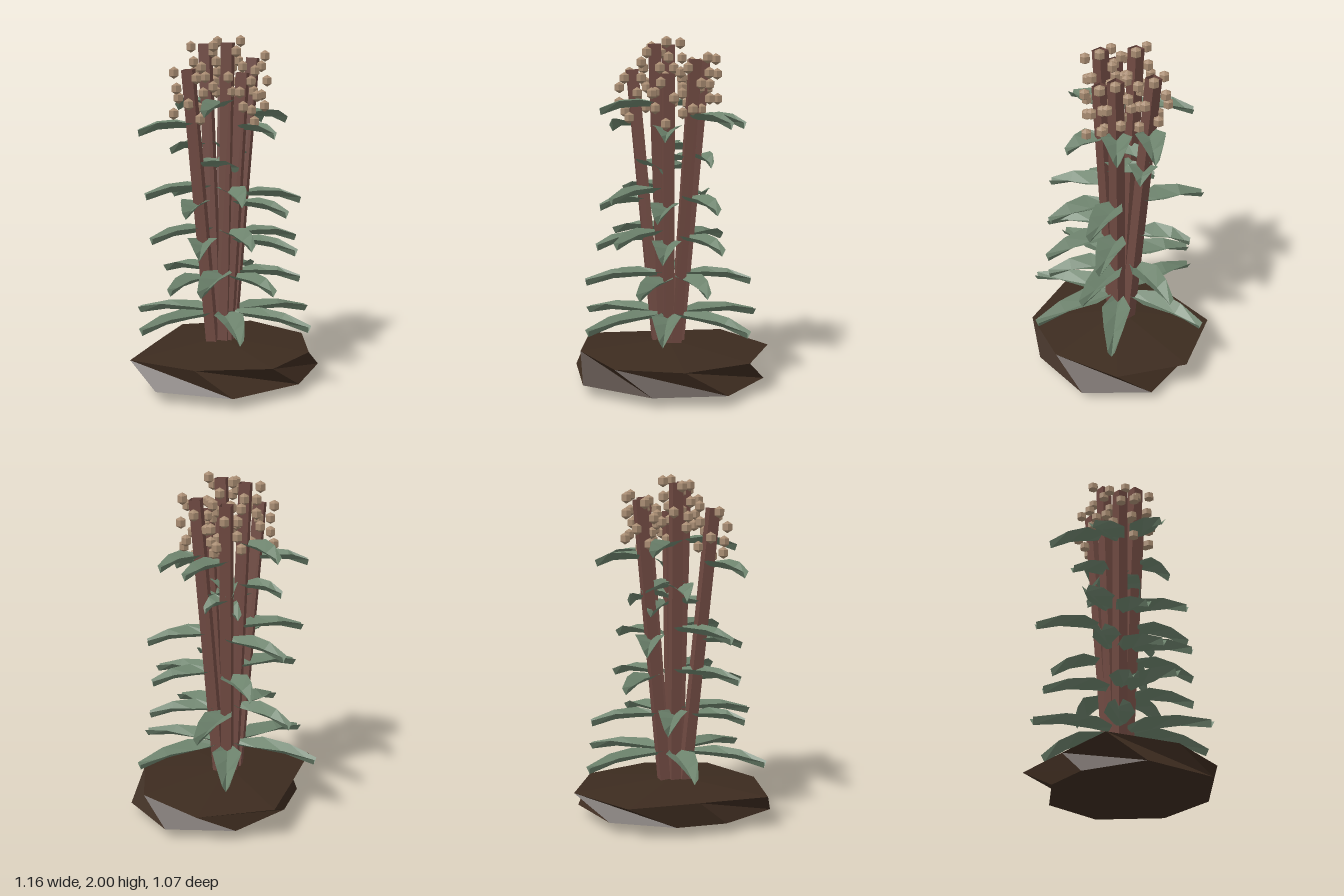
import * as THREE from 'three';

const mat = (name, color, side = THREE.FrontSide) =>
  new THREE.MeshStandardMaterial({ name, color, side, flatShading: true });

// Unindexed triangles from a list of [a, b, c] points
function facets(tris) {
  const g = new THREE.BufferGeometry();
  g.setAttribute('position', new THREE.Float32BufferAttribute(tris.flat(2), 3));
  g.computeVertexNormals();
  return g;
}

// Faceted mound: two twisted rings between a top and a bottom point
function soilGeometry() {
  const upper = [[.56, 0], [.37, .36], [.02, .53], [-.37, .35], [-.59, 0], [-.29, -.27], [.02, -.54], [.44, -.4]]
    .map(([x, z]) => [x, .2, z]);
  const lower = [[.53, -.2], [.545, .2], [.23, .47], [-.22, .51], [-.53, .2], [-.4, -.15], [-.18, -.34], [.2, -.42]]
    .map(([x, z]) => [x, .063, z]);
  const top = [0, .255, 0], bottom = [0, 0, 0], tris = [];
  for (let i = 0; i < 8; i++) {
    const j = (i + 1) % 8;
    tris.push([top, upper[j], upper[i]], [upper[i], upper[j], lower[i]],
      [lower[i], upper[j], lower[j]], [bottom, lower[i], lower[j]]);
  }
  return facets(tris);
}

// Arched leaf of unit length along +x, channelled along its midrib
function leafGeometry() {
  // distance, midrib height, half width, edge rise
  const rows = [[0, -.015, .03, .025], [.3, -.015, .084, .042], [.65, -.023, .058, .042], [1, -.062, .02, .038]];
  const sections = rows.map(([x, y, w, rise]) => [[x, y + rise, -w], [x * .98, y, 0], [x, y + rise, w]]);
  const tris = [];
  for (let i = 0; i < sections.length - 1; i++) {
    const a = sections[i], b = sections[i + 1];
    for (let k = 0; k < 2; k++) tris.push([a[k], a[k + 1], b[k + 1]], [a[k], b[k + 1], b[k]]);
  }
  return facets(tris);
}

// Stem tops: x, height, z
const STEMS = [[-.23, 1.81, .03], [-.06, 1.95, -.09], [.12, 1.86, -.185],
  [.195, 1.87, .012], [-.02, 1.955, .1], [.075, 1.79, .1]];

// Leaf tips (x, z) for each level, in stem order
const LEAVES = [
  [[-.55, .06], [-.33, -.43], [.3, -.48], [.57, .03], [-.18, .52], [.3, .47]],
  [[-.4, .12], [-.16, -.41], [.38, -.3], [.41, .2], [-.33, .35], [.1, .41]],
  [[-.3, .28], [-.43, -.05], [.1, -.41], [.44, .1], [-.05, .42], [.25, .4]],
  [[-.34, .2], [-.42, -.14], [-.07, -.48], [.44, .15], [-.1, .4], [.2, .38]],
  [[.05, .1], [-.2, -.25], [.22, -.12], [-.02, 0], [.1, -.18], [.05, -.2]],
  [[-.48, -.1], [-.07, -.41], [.39, -.2], [.43, 0], [-.27, .28], [.18, .28]],
];

export function createModel() {
  const plant = new THREE.Group();
  plant.name = 'plant';
  const soilMat = mat('soil brown', 0x3c2b1f);
  const stemMat = mat('stem brown', 0x704a42, THREE.DoubleSide);
  const leafMat = mat('leaf green', 0x6d836d, THREE.DoubleSide);
  const seedMat = mat('seed tan', 0xa68a70);

  const add = (parent, name, geometry, material) => {
    const m = new THREE.Mesh(geometry, material);
    m.name = name;
    parent.add(m);
    return m;
  };

  add(plant, 'soilMound', soilGeometry(), soilMat);

  const leaf = leafGeometry();
  const seed = new THREE.SphereGeometry(.034, 6, 3);
  const up = new THREE.Vector3(0, 1, 0);

  STEMS.forEach(([x, h, z], s) => {
    const stalk = new THREE.Group();
    stalk.name = 'stalk';
    plant.add(stalk);
    const top = new THREE.Vector3(x, h, z);
    const base = new THREE.Vector3(x * .28, .2, z * .28);
    const axis = top.clone().sub(base);
    const at = y => base.clone().lerp(top, (y - .2) / (h - .2));

    // Hollow four-sided stem
    const stem = add(stalk, 'stem', new THREE.CylinderGeometry(.045, .042, axis.length(), 4, 1, true), stemMat);
    stem.position.copy(base).lerp(top, .5);
    stem.quaternion.setFromUnitVectors(up, axis.clone().normalize());

    // One leaf at each of six levels
    LEAVES.forEach((tips, level) => {
      const p = at(.41 + level * (.83 * h - .41) / 5);
      const dx = tips[s][0] - p.x, dz = tips[s][1] - p.z;
      const m = add(stalk, 'leaf', leaf, leafMat);
      m.position.copy(p);
      m.rotation.y = Math.atan2(-dz, dx);
      m.scale.x = Math.hypot(dx, dz);
    });

    // Seeds spiralling down around the tip
    for (let i = 0; i < 11; i++) {
      const a = i * 2.39996;
      const m = add(stalk, 'seed', seed, seedMat);
      m.position.set(x + Math.cos(a) * .082, h + .01 - i * .028, z - Math.sin(a) * .082);
    }
  });
  return plant;
}
